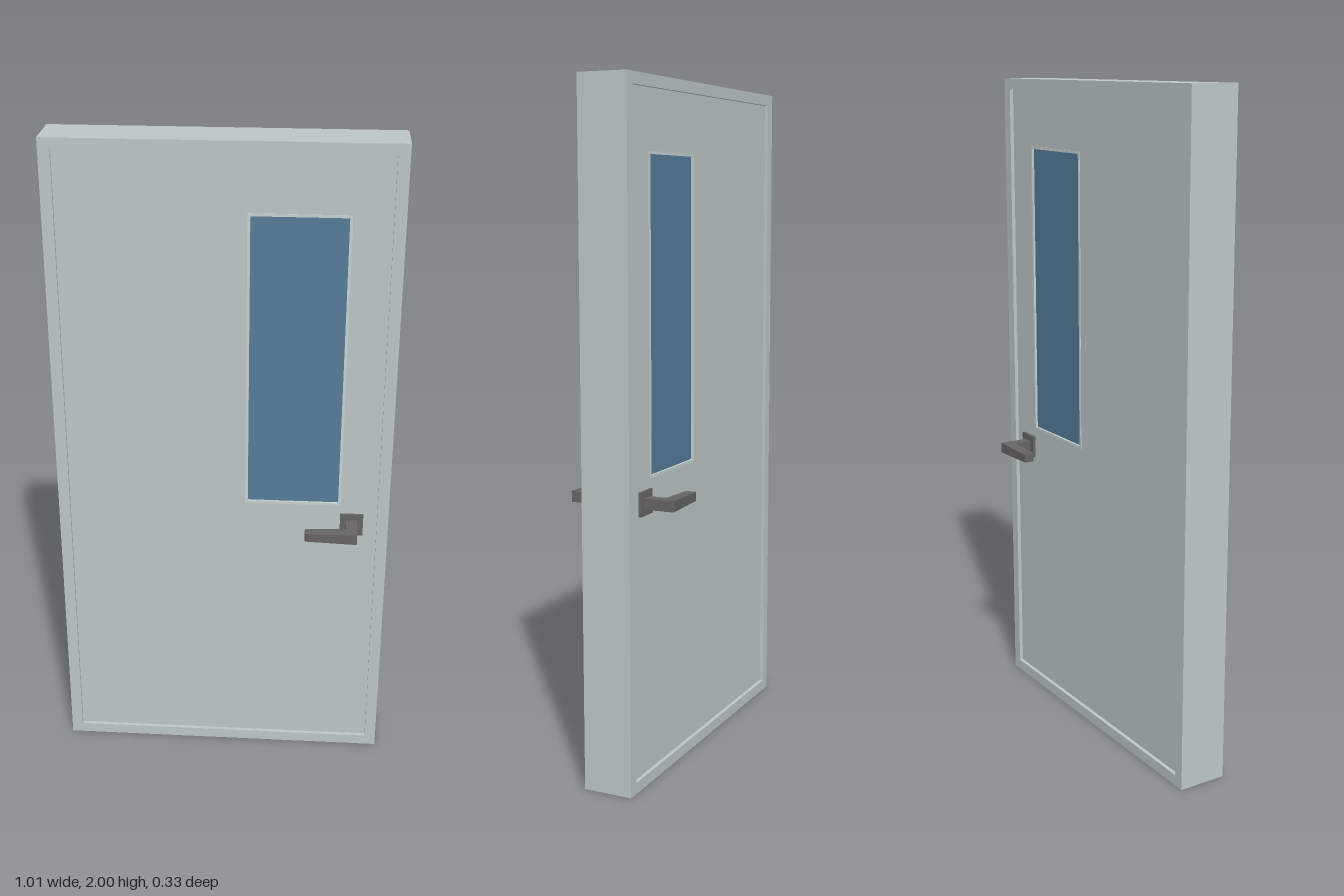
import * as THREE from 'three';

const paint = new THREE.MeshStandardMaterial({ color: 0xbcc8c6 });
const trimPaint = new THREE.MeshStandardMaterial({ color: 0xc8d3d1 });
const glassBlue = new THREE.MeshStandardMaterial({ color: 0x557d99 });
const darkMetal = new THREE.MeshStandardMaterial({ color: 0x666464 });

function addMesh(parent, name, geometry, material) {
  const mesh = new THREE.Mesh(geometry, material);
  mesh.name = name;
  parent.add(mesh);
  return mesh;
}

// Rectangular outline from its limits
function rect(Type, x0, x1, y0, y1) {
  return new Type([[x0, y0], [x1, y0], [x1, y1], [x0, y1]].map(p => new THREE.Vector2(...p)));
}

// Rectangular ring, centred in z
function ring(outer, inner, depth) {
  const shape = rect(THREE.Shape, ...outer);
  shape.holes.push(rect(THREE.Path, ...inner));
  return new THREE.ExtrudeGeometry(shape, { depth, bevelEnabled: false }).translate(0, 0, -depth / 2);
}

// L-shaped neck and grip, thinning towards the rounded tip
function leverGeometry() {
  const s = new THREE.Shape();
  s.moveTo(0.376, 0.055);
  s.lineTo(0.409, 0.055);
  s.lineTo(0.409, 0.159);
  s.quadraticCurveTo(0.409, 0.163, 0.405, 0.163);
  s.lineTo(0.262, 0.16);
  s.quadraticCurveTo(0.252, 0.159, 0.252, 0.152);
  s.lineTo(0.252, 0.134);
  s.quadraticCurveTo(0.252, 0.127, 0.262, 0.126);
  s.lineTo(0.376, 0.124);
  s.closePath();
  const thick = 0.032;
  const g = new THREE.ExtrudeGeometry(s, { depth: thick, bevelEnabled: false, curveSegments: 4 });
  g.translate(0, 0, -thick / 2).rotateX(Math.PI / 2);
  const p = g.attributes.position;
  for (let i = 0; i < p.count; i++) {
    const t = THREE.MathUtils.clamp((p.getX(i) - 0.252) / 0.124, 0, 1);
    p.setY(i, p.getY(i) * (0.78 + 0.22 * t));
  }
  g.computeVertexNormals();
  return g;
}

export function createModel() {
  const model = new THREE.Group();
  model.name = 'door';

  // Surrounding frame and the leaf set slightly back in it
  const opening = [-0.47, 0.47, 0.033, 1.967];
  const pane = [0.076, 0.35, 0.9, 1.79];
  addMesh(model, 'frame', ring([-0.504, 0.504, 0, 2], opening, 0.149), paint);
  addMesh(model, 'leaf', ring(opening, pane, 0.126), paint);

  // Window trim and glass
  const w = 0.008;
  const trimOuter = pane.map((v, i) => v + (i % 2 ? w : -w));
  addMesh(model, 'windowTrim', ring(trimOuter, pane, 0.13), trimPaint);
  const glass = addMesh(model, 'glass', new THREE.BoxGeometry(0.276, 0.892, 0.116), glassBlue);
  glass.position.set(0.213, 1.345, 0);

  // Matching handles on both faces
  for (const side of ['front', 'back']) {
    const handle = new THREE.Group();
    handle.name = side + 'Handle';
    handle.position.y = 0.83;
    handle.rotation.x = side === 'front' ? 0 : Math.PI;
    const plate = addMesh(handle, 'rosette', new THREE.BoxGeometry(0.07, 0.07, 0.012), darkMetal);
    plate.position.set(0.393, 0, 0.066);
    addMesh(handle, 'lever', leverGeometry(), darkMetal);
    model.add(handle);
  }
  return model;
}
